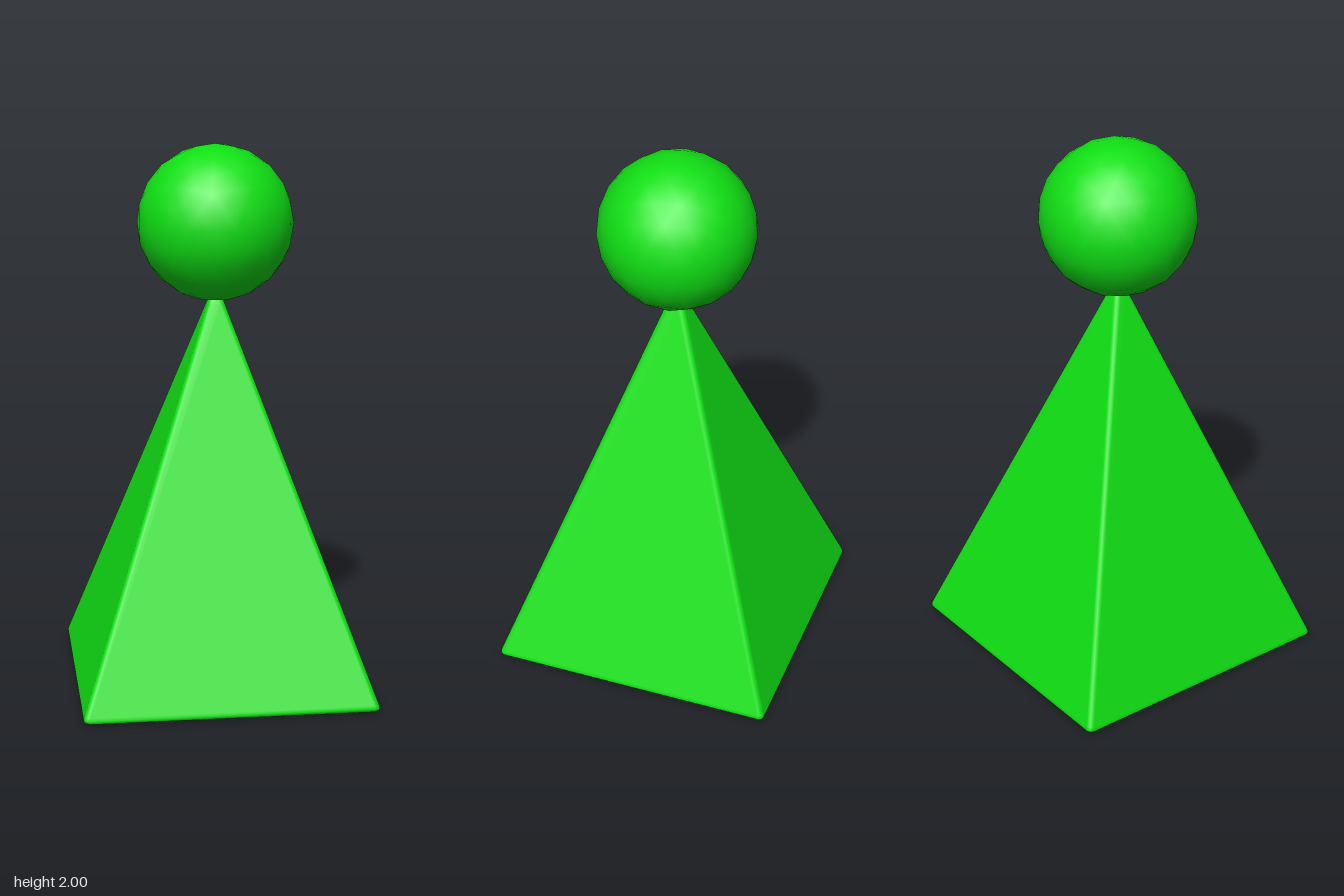
import * as THREE from 'three';

// Lofts rounded diamond cross-sections; each row is [y, corner centre distance, corner radius].
function loftDiamond(rows, arcSteps) {
  const positions = [], index = [];
  const n = 4 * (arcSteps + 1);
  for (const [y, c, r] of rows) {
    for (let k = 0; k < 4; k++) {
      const mid = k * Math.PI / 2;
      for (let j = 0; j <= arcSteps; j++) {
        const a = mid + (j / arcSteps - 0.5) * Math.PI / 2;
        positions.push(c * Math.cos(mid) + r * Math.cos(a), y, c * Math.sin(mid) + r * Math.sin(a));
      }
    }
  }
  for (let i = 0; i < rows.length - 1; i++) {
    for (let j = 0; j < n; j++) {
      const a = i * n + j, b = i * n + (j + 1) % n;
      index.push(a, a + n, b, b, a + n, b + n);
    }
  }
  // Close the underside and the tip with centre points.
  const bottom = positions.length / 3, top = bottom + 1, last = (rows.length - 1) * n;
  positions.push(0, 0.005, 0, 0, 1.455, 0);
  for (let j = 0; j < n; j++) {
    const k = (j + 1) % n;
    index.push(bottom, j, k, top, last + k, last + j);
  }
  const g = new THREE.BufferGeometry();
  g.setAttribute('position', new THREE.Float32BufferAttribute(positions, 3));
  g.setIndex(index);
  g.computeVertexNormals();
  return g;
}

export function createModel() {
  const group = new THREE.Group();
  const green = new THREE.MeshStandardMaterial({ color: 0x10e014 });

  // Four-sided body with softened edges, corners on the x and z axes
  const body = new THREE.Mesh(loftDiamond([
    [0.006, 0.69, 0.02],
    [0.011, 0.715, 0.02],
    [0.017, 0.723, 0.02],
    [0.024, 0.724, 0.02],
    [0.034, 0.72, 0.02],
    [1.42, 0.018, 0.02],
    [1.437, 0.01, 0.02],
    [1.45, 0.004, 0.014],
  ], 4), green);
  body.name = 'pyramidBody';
  group.add(body);

  // Ball head, turned so that one vertex points straight up
  const headGeometry = new THREE.IcosahedronGeometry(0.285, 3);
  headGeometry.rotateZ(-Math.atan(2 / (1 + Math.sqrt(5))));
  const head = new THREE.Mesh(headGeometry, green);
  head.name = 'ballHead';
  head.position.y = 1.715;
  group.add(head);

  return group;
}
